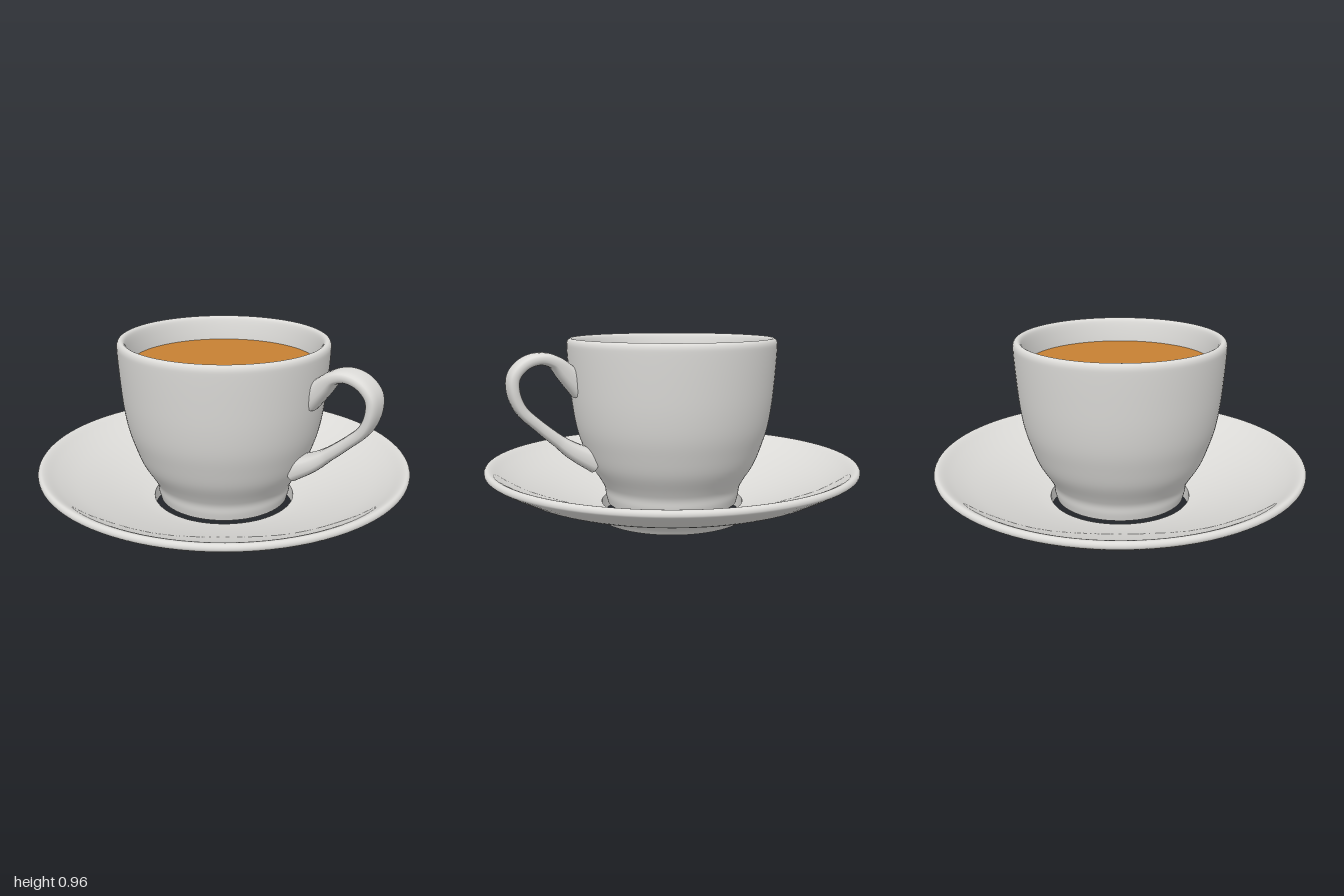
import * as THREE from 'three';

const china = new THREE.MeshStandardMaterial({ color: 0xdcdbd8 });
china.name = 'white china';
const coffeeColor = new THREE.MeshStandardMaterial({ color: 0xc68033 });
coffeeColor.name = 'milky coffee';

// Smooth run of [radius, height] points
const smooth = (pts, n) =>
  new THREE.SplineCurve(pts.map(([r, y]) => new THREE.Vector2(r, y))).getPoints(n);

// Lathe from several smooth runs; each run starts at the last one's end, which keeps that edge sharp
function turned(name, runs, material) {
  const points = runs.flatMap((run) => smooth(run, run.length > 2 ? run.length * 4 : 1));
  const mesh = new THREE.Mesh(new THREE.LatheGeometry(points, 96), material);
  mesh.name = name;
  return mesh;
}

// Flat rounded strap swept along a path of [x, y, half thickness, half width]
function strap(name, stations, material) {
  const path = new THREE.CatmullRomCurve3(stations.map(([x, y]) => new THREE.Vector3(x, y, 0)));
  const steps = 66, sides = 24, positions = [], index = [];
  const round = (v) => Math.sign(v) * Math.abs(v) ** 0.7;
  for (let i = 0; i <= steps; i++) {
    const t = i / steps, p = path.getPoint(t), d = path.getTangent(t);
    const s = t * (stations.length - 1), k = Math.min(Math.floor(s), stations.length - 2);
    const size = (c) => THREE.MathUtils.lerp(stations[k][c], stations[k + 1][c], s - k);
    for (let j = 0; j < sides; j++) {
      const a = (j / sides) * Math.PI * 2;
      const u = round(Math.cos(a)) * size(2), w = round(Math.sin(a)) * size(3);
      positions.push(p.x - d.y * u, p.y + d.x * u, w);
      if (i < steps) {
        const q = i * sides + j, r = i * sides + ((j + 1) % sides);
        index.push(q, r, q + sides, r, r + sides, q + sides);
      }
    }
  }
  const geometry = new THREE.BufferGeometry();
  geometry.setAttribute('position', new THREE.Float32BufferAttribute(positions, 3));
  geometry.setIndex(index);
  geometry.computeVertexNormals();
  const mesh = new THREE.Mesh(geometry, material);
  mesh.name = name;
  return mesh;
}

export function createModel() {
  const model = new THREE.Group();
  model.name = 'cupAndSaucer';

  // Saucer: a dished ring, open in the middle where the cup sits
  model.add(turned('saucer', [
    [[0.383, 0], [0.402, 0]],
    [[0.402, 0], [0.435, 0.04], [0.5, 0.078], [0.63, 0.115], [0.8, 0.162], [0.9, 0.21],
      [0.985, 0.258], [1, 0.278], [0.99, 0.296], [0.965, 0.294], [0.9, 0.258],
      [0.8, 0.212], [0.62, 0.145], [0.47, 0.098], [0.385, 0.078]],
    [[0.385, 0.078], [0.383, 0]],
  ], china));

  const cup = new THREE.Group();
  cup.name = 'cup';
  model.add(cup);

  // Cup body: flat base, small foot, bowl, rounded lip and inner wall
  cup.add(turned('cupBody', [
    [[0, 0.08], [0.352, 0.08]],
    [[0.352, 0.08], [0.362, 0.12], [0.369, 0.165], [0.392, 0.21], [0.447, 0.3], [0.485, 0.4],
      [0.515, 0.5], [0.535, 0.62], [0.548, 0.76], [0.557, 0.9], [0.556, 0.945],
      [0.541, 0.964], [0.522, 0.958], [0.51, 0.93], [0.497, 0.87], [0.488, 0.81]],
  ], china));

  // Coffee surface
  const coffee = new THREE.Mesh(new THREE.CircleGeometry(0.492, 96), coffeeColor);
  coffee.name = 'coffee';
  coffee.rotation.x = -Math.PI / 2;
  coffee.position.y = 0.835;
  cup.add(coffee);

  // Ear-shaped handle, thicker at both roots
  cup.add(strap('handle', [
    [0.5, 0.72, 0.07, 0.072], [0.575, 0.79, 0.052, 0.073], [0.64, 0.853, 0.035, 0.076],
    [0.71, 0.873, 0.031, 0.077], [0.79, 0.85, 0.03, 0.077], [0.845, 0.79, 0.03, 0.076],
    [0.85, 0.71, 0.03, 0.075], [0.815, 0.62, 0.03, 0.071], [0.73, 0.535, 0.03, 0.067],
    [0.63, 0.45, 0.034, 0.068], [0.55, 0.39, 0.046, 0.08], [0.44, 0.33, 0.06, 0.092],
  ], china));

  return model;
}
